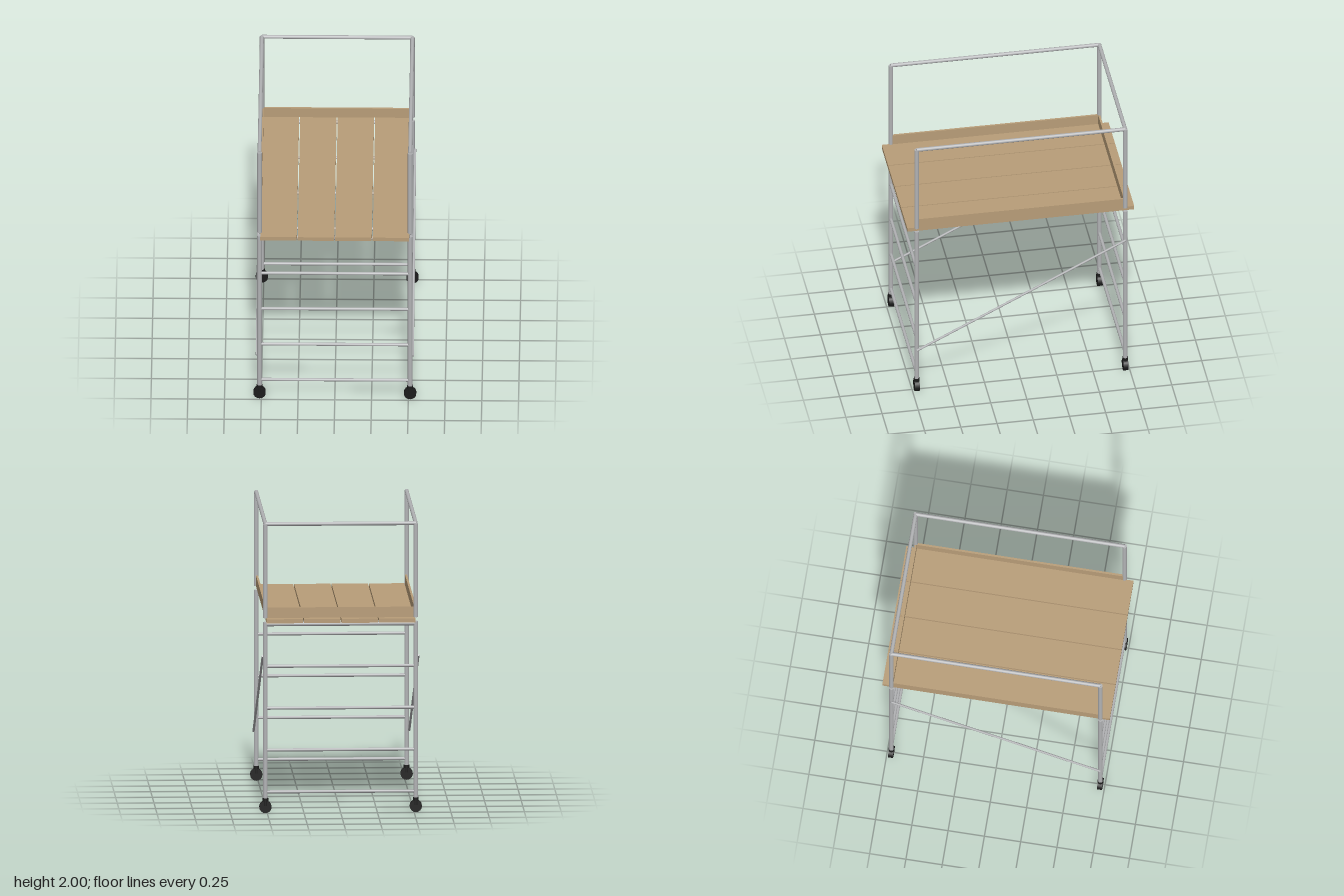
import * as THREE from 'three';

const material = (name, color) => {
  const m = new THREE.MeshStandardMaterial({ color });
  m.name = name;
  return m;
};

export function createModel() {
  const model = new THREE.Group();
  model.name = 'rollingScaffold';
  const steel = material('galvanised steel', 0xb2b3b5);
  const wood = material('wood', 0xb89d78);
  const rubber = material('black rubber', 0x1c1c1c);

  const X = 0.512, Z = 0.72; // post positions
  const deckBottom = 1.313, deckTop = 1.341, railY = 1.9865;

  function tube(name, a, b, radius, mat = steel, sides = 16) {
    const from = new THREE.Vector3(...a), to = new THREE.Vector3(...b);
    const dir = to.clone().sub(from);
    const mesh = new THREE.Mesh(new THREE.CylinderGeometry(radius, radius, dir.length(), sides), mat);
    mesh.position.copy(from).add(to).multiplyScalar(0.5);
    mesh.quaternion.setFromUnitVectors(new THREE.Vector3(0, 1, 0), dir.normalize());
    mesh.name = name;
    model.add(mesh);
  }

  function board(name, w, h, d, x, y, z) {
    const mesh = new THREE.Mesh(new THREE.BoxGeometry(w, h, d), wood);
    mesh.position.set(x, y, z);
    mesh.name = name;
    model.add(mesh);
  }

  // Corner posts and casters
  for (const x of [-X, X]) {
    for (const z of [-Z, Z]) {
      tube('post', [x, 0.1, z], [x, deckBottom, z], 0.016);
      tube('guardPost', [x, deckTop, z], [x, railY, z], 0.016);
      tube('casterStem', [x, 0.05, z], [x, 0.102, z], 0.02, rubber);
      tube('wheel', [x, 0.042, z - 0.017], [x, 0.042, z + 0.017], 0.042, rubber);
    }
  }

  // Ladder rungs and the beam under the deck, at both ends
  for (const z of [-Z, Z]) {
    for (let i = 0; i < 4; i++) {
      const y = 0.144 + i * 0.288;
      tube('rung', [-X, y, z], [X, y, z], 0.011);
    }
    tube('deckBeam', [-X, 1.298, z], [X, 1.298, z], 0.0145);
  }

  // Sides: diagonal brace, top rail and toe board
  for (const s of [-1, 1]) {
    tube('brace', [s * 0.53, 0.34, Z], [s * 0.53, 1.08, -Z], 0.008, steel, 12);
    tube('sideRail', [s * X, railY, -Z], [s * X, railY, Z], 0.0135);
    board('sideToeBoard', 0.014, 0.072, 1.43, s * 0.507, deckTop + 0.036, 0);
  }

  // Closed back end
  tube('backRail', [-X, railY, -Z], [X, railY, -Z], 0.0135);
  board('backToeBoard', 1.0, 0.072, 0.014, 0, deckTop + 0.036, -0.717);

  // Deck planks with narrow gaps
  for (let i = 0; i < 4; i++) {
    board('plank', 0.248, deckTop - deckBottom, 1.566, (i - 1.5) * 0.255, (deckTop + deckBottom) / 2, 0);
  }
  return model;
}
